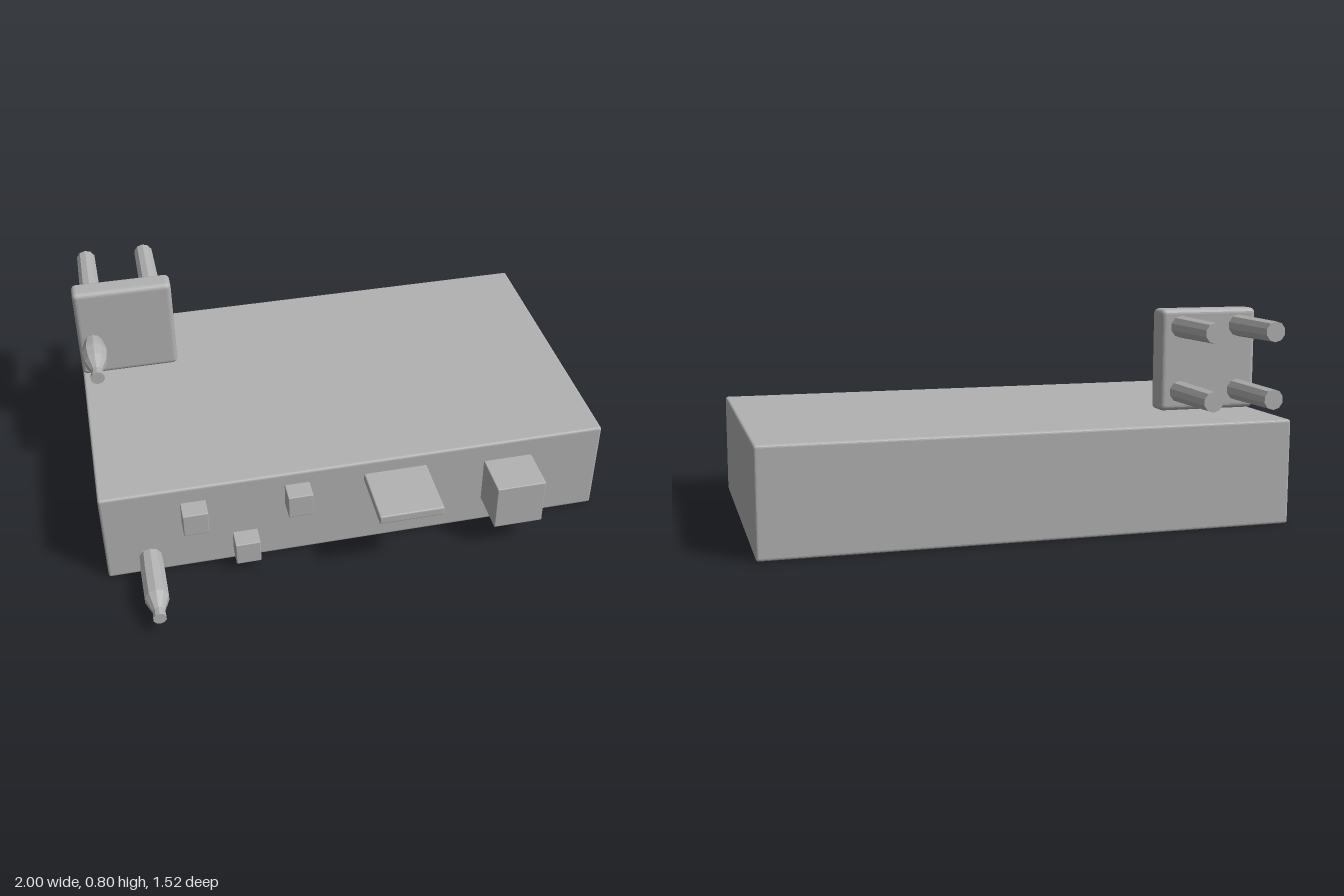
import * as THREE from 'three';
import { RoundedBoxGeometry } from 'three/addons/geometries/RoundedBoxGeometry.js';

export function createModel() {
  const root = new THREE.Group();
  root.name = 'controlBox';
  const grey = new THREE.MeshStandardMaterial({ color: 0xb2b2b2 });
  grey.name = 'plain grey';
  grey.flatShading = true;

  const add = (name, geometry, x = 0, y = 0, z = 0) => {
    const mesh = new THREE.Mesh(geometry, grey);
    mesh.name = name;
    mesh.position.set(x, y, z);
    root.add(mesh);
  };

  // Box given by its limits, with softened edges
  const block = (name, [x0, x1], [y0, y1], [z0, z1], bevel, segments = 2) =>
    add(name, new RoundedBoxGeometry(x1 - x0, y1 - y0, z1 - z0, segments, bevel),
      (x0 + x1) / 2, (y0 + y1) / 2, (z0 + z1) / 2);

  // Turned part along z, profile given as [radius, z] from back to front
  const turned = (name, x, y, profile) => {
    const points = profile.map(([r, z]) => new THREE.Vector2(r, z));
    add(name, new THREE.LatheGeometry(points, 10).rotateX(Math.PI / 2), x, y);
  };

  // Main slab and the upright plate standing on its back corner
  block('body', [-1, 1], [0, 0.4], [-0.76, 0.435], 0.01);
  block('plate', [-1, -0.6], [0.403, 0.8], [-0.46, -0.365], 0.02, 3);

  // Four pegs behind the plate
  for (const x of [-0.925, -0.68])
    for (const y of [0.732, 0.478])
      turned('peg', x, y, [[0, -0.757], [0.039, -0.757], [0.043, -0.44], [0, -0.44]]);

  // Levers on the plate and on the front of the body
  turned('plateLever', -0.94, 0.565, [
    [0, -0.38], [0.034, -0.38], [0.049, -0.31], [0.053, -0.28],
    [0.046, -0.22], [0.023, -0.16], [0.029, -0.112], [0, -0.112]]);
  turned('frontLever', -0.83, 0.077, [
    [0, 0.42], [0.044, 0.42], [0.048, 0.52], [0.048, 0.66],
    [0.024, 0.725], [0.026, 0.763], [0, 0.763]]);

  // Three small buttons
  for (const [x, y] of [[-0.648, 0.281], [-0.455, 0.09], [-0.243, 0.295]])
    block('button', [x - 0.049, x + 0.049], [y - 0.05, y + 0.05], [0.41, 0.512], 0.004);

  // Flat tab and large knob block
  block('flatTab', [0.023, 0.275], [0.305, 0.342], [0.41, 0.685], 0.006);
  block('largeKnob', [0.513, 0.71], [0.118, 0.316], [0.41, 0.61], 0.004);

  return root;
}
